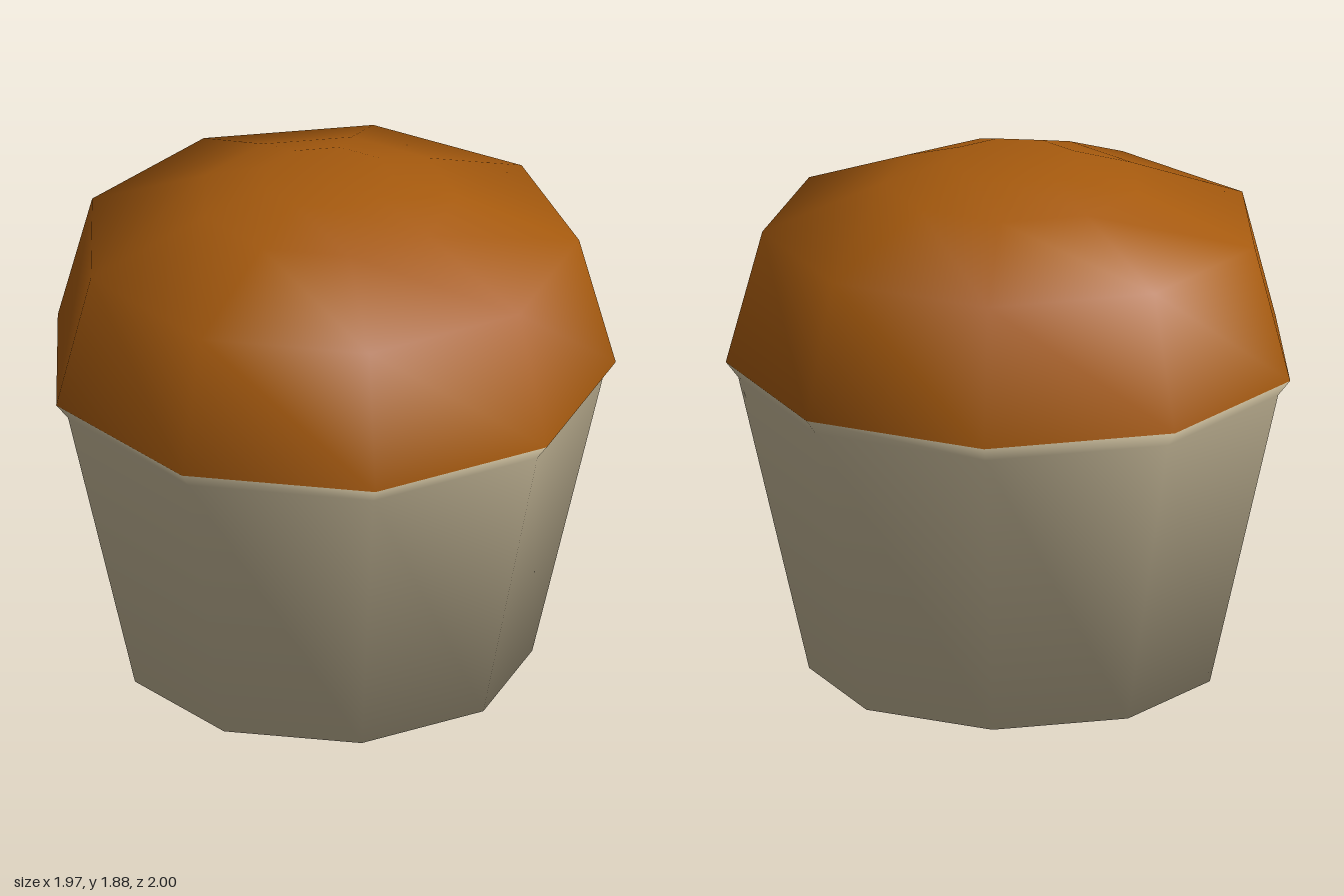
import * as THREE from 'three';

const SIDES = 9;
const CENTER_X = -0.03; // a nine-sided ring is lopsided in x

// Radius and height from the underside up to the crown
const PROFILE = [
  [0, 0], [0.72, 0], [0.97, 1.09], [1.014, 1.147],
  [0.885, 1.63], [0.46, 1.8], [0.235, 1.875], [0, 1.875],
];
const RIM = 3; // profile point where the wrapper meets the cake

export function createModel() {
  const group = new THREE.Group();
  group.name = 'muffin';

  const wrapperMaterial = new THREE.MeshStandardMaterial({ color: 0xcdbf9e });
  wrapperMaterial.name = 'paper beige';
  const cakeMaterial = new THREE.MeshStandardMaterial({ color: 0xa65a0e });
  cakeMaterial.name = 'baked brown';

  // One smooth body, so the shading runs on across the rim
  const points = PROFILE.map(([r, y]) => new THREE.Vector2(r, y));
  const body = new THREE.LatheGeometry(points, SIDES, Math.PI / 2);
  const bands = PROFILE.length - 1;

  // Takes the faces between two profile points as a part of its own
  function addPart(name, from, to, material) {
    const index = [];
    for (let side = 0; side < SIDES; side++) {
      const start = side * bands * 6;
      index.push(...body.index.array.slice(start + from * 6, start + to * 6));
    }
    const geometry = body.clone();
    geometry.setIndex(index);
    const mesh = new THREE.Mesh(geometry, material);
    mesh.name = name;
    mesh.position.x = CENTER_X;
    group.add(mesh);
  }

  addPart('wrapper', 0, RIM, wrapperMaterial);
  addPart('cakeTop', RIM, bands, cakeMaterial);

  return group;
}
